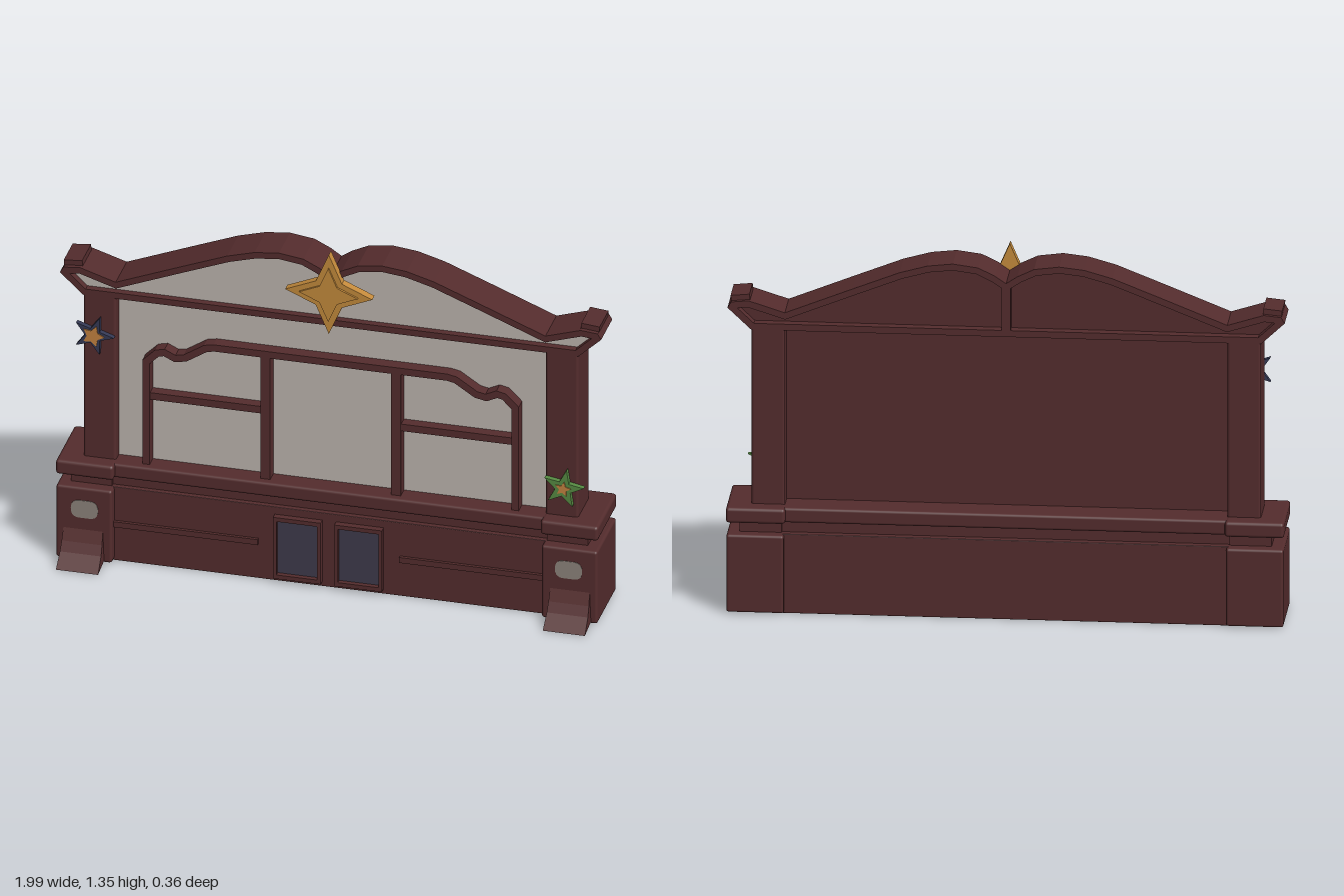
import * as THREE from 'three';
import { RoundedBoxGeometry } from 'three/addons/geometries/RoundedBoxGeometry.js';

const mat = (name, color, side = THREE.FrontSide) => {
  const m = new THREE.MeshStandardMaterial({ color, side });
  m.name = name;
  return m;
};

export function createModel() {
  const root = new THREE.Group();
  const wood = mat('dark red wood', 0x542c2d, THREE.DoubleSide);
  const pane = mat('grey pane', 0xbeb6b0);
  const glass = mat('blue door glass', 0x3f3b4c);
  const gold = mat('gold', 0xc58b3c);
  const navy = mat('navy', 0x353a55);
  const green = mat('green', 0x568a42);
  const orange = mat('orange', 0xc58240);
  const stone = mat('handle grey', 0x8d847c);

  const add = (name, geo, m, parent = root) => {
    const mesh = new THREE.Mesh(geo, m);
    mesh.name = name;
    parent.add(mesh);
    return mesh;
  };
  // box given by its limits, with softened edges when r > 0
  const box = (name, m, x0, x1, y0, y1, z0, z1, r = 0) => {
    const s = [x1 - x0, y1 - y0, z1 - z0];
    const g = r ? new RoundedBoxGeometry(...s, 2, r) : new THREE.BoxGeometry(...s);
    g.translate((x0 + x1) / 2, (y0 + y1) / 2, (z0 + z1) / 2);
    return add(name, g, m);
  };
  // leave out the underside of a softened box, making a hollow shell
  const openBelow = (mesh) => {
    const g = mesh.geometry;
    const under = g.groups[3];
    const kept = [];
    for (let i = 0; i < g.attributes.position.count; i++) {
      if (i < under.start || i >= under.start + under.count) kept.push(i);
    }
    g.setIndex(kept);
    g.clearGroups();
  };
  const vecs = (pts) => pts.map(([x, y]) => new THREE.Vector2(x, y));
  const mirrorX = (pts) => pts.map(([x, y]) => [-x, y]).reverse();
  // extruded outline between two depths, always wound counter-clockwise
  const slab = (name, m, pts, z0, z1, hole) => {
    const ring = vecs(pts);
    if (THREE.ShapeUtils.isClockWise(ring)) ring.reverse();
    const shape = new THREE.Shape(ring);
    if (hole) shape.holes.push(new THREE.Path(vecs(hole)));
    const g = new THREE.ExtrudeGeometry(shape, { depth: z1 - z0, bevelEnabled: false });
    g.translate(0, 0, z0);
    return add(name, g, m);
  };
  // shift a path sideways to its right by d, mitring the corners
  const offset = (pts, d, closed) => pts.map((p, i) => {
    const n = pts.length;
    const a = closed || i > 0 ? pts[(i + n - 1) % n] : null;
    const b = closed || i < n - 1 ? pts[(i + 1) % n] : null;
    const normal = (u, v) => new THREE.Vector2(v[1] - u[1], u[0] - v[0]).normalize();
    const n1 = a ? normal(a, p) : normal(p, b);
    const n2 = b ? normal(p, b) : n1;
    const k = d / Math.max(0.35, 1 + n1.dot(n2));
    return [p[0] + (n1.x + n2.x) * k, p[1] + (n1.y + n2.y) * k];
  });

  // ---- base ----
  openBelow(box('baseBody', wood, -0.8, 0.8, 0, 0.297, -0.152, 0.055, 0.003));
  box('baseNeck', wood, -0.8, 0.8, 0.29, 0.345, -0.125, 0.035);
  box('ledge', wood, -0.8, 0.8, 0.34, 0.395, -0.155, 0.066, 0.01);
  for (const s of [-1, 1]) {
    const sideBox = (name, m, a, b, ...rest) =>
      box(name, m, Math.min(s * a, s * b), Math.max(s * a, s * b), ...rest);
    openBelow(sideBox('pedestal', wood, 0.79, 0.995, 0.005, 0.297, -0.178, 0.093, 0.01));
    sideBox('pedestalNeck', wood, 0.8, 0.95, 0.29, 0.345, -0.135, 0.05);
    sideBox('pedestalLedge', wood, 0.785, 0.997, 0.34, 0.397, -0.178, 0.093, 0.012);
    sideBox('column', wood, 0.79, 0.91, 0.38, 1.065, -0.118, 0.035, 0.01);
    sideBox('baseRail', wood, 0.26, 0.79, 0.14, 0.162, 0.05, 0.067);

    // flared foot, a side profile swept across its width
    const profile = [[0.085, 0.13], [0.093, 0.13], [0.111, 0.085],
      [0.13, 0.05], [0.18, 0.002], [0.085, 0.014]];
    const foot = new THREE.ExtrudeGeometry(new THREE.Shape(vecs(profile).reverse()),
      { depth: 0.155, bevelEnabled: false });
    foot.rotateY(-Math.PI / 2);
    foot.translate(0.0775, 0, 0);
    const p = foot.attributes.position;
    for (let i = 0; i < p.count; i++) {
      p.setX(i, s * 0.895 + p.getX(i) * (1 - 0.5 * p.getY(i)));
      // rotating the profile turned its depth axis onto z
    }
    foot.computeVertexNormals();
    add('flaredFoot', foot, wood);

    // rounded handle plate, flush with the pedestal
    const oval = new THREE.Shape();
    oval.moveTo(-0.02, -0.035).lineTo(0.02, -0.035).quadraticCurveTo(0.05, -0.035, 0.05, 0)
      .quadraticCurveTo(0.05, 0.035, 0.02, 0.035).lineTo(-0.02, 0.035)
      .quadraticCurveTo(-0.05, 0.035, -0.05, 0).quadraticCurveTo(-0.05, -0.035, -0.02, -0.035);
    const handle = new THREE.ExtrudeGeometry(oval, { depth: 0.008, bevelEnabled: false, curveSegments: 5 });
    add('handlePlate', handle, stone).position.set(s * 0.89, 0.212, 0.087);

    // small door: frame and glass
    const rect = (a, b, c, d) => [[s * a, c], [s * b, c], [s * b, d], [s * a, d]];
    slab('doorFrame', wood, rect(0.025, 0.2, 0.02, 0.268), 0.05, 0.08, rect(0.038, 0.188, 0.036, 0.252));
    sideBox('doorGlass', glass, 0.036, 0.19, 0.034, 0.254, 0.052, 0.0615);
  }

  // ---- main panel ----
  box('backPanel', wood, -0.8, 0.8, 0.39, 1.06, -0.045, -0.015);
  box('frontPane', pane, -0.79, 0.79, 0.395, 1.055, -0.016, -0.01);

  // window frame with shaped shoulders
  const half = [[-0.692, 0.39], [-0.692, 0.815], [-0.645, 0.862], [-0.61, 0.87], [-0.57, 0.851],
    [-0.54, 0.857], [-0.465, 0.906], [-0.43, 0.913]];
  const arch = [...half, ...mirrorX(half)];
  slab('windowFrame', wood, [...arch, ...offset(arch, 0.027, false).reverse()], -0.012, 0.037);
  for (const s of [-1, 1]) {
    box('windowPost', wood, s * 0.24 - 0.018, s * 0.24 + 0.018, 0.39, 0.9, -0.012, 0.036);
    box('windowCrossbar', wood, s * 0.46 - 0.215, s * 0.46 + 0.215, 0.655, 0.683, -0.012, 0.03);
  }

  // ---- pediment ----
  const rise = [[-0.91, 1.05], [-0.995, 1.13], [-0.982, 1.152], [-0.92, 1.158], [-0.79, 1.117],
    [-0.55, 1.213], [-0.38, 1.28], [-0.28, 1.308], [-0.19, 1.318], [-0.1, 1.306], [-0.04, 1.277]];
  const outline = [...rise, [0, 1.25], ...mirrorX(rise)];
  const inner = offset(outline, 0.024, true);
  slab('pedimentFrame', wood, outline, -0.12, 0.037, inner);
  slab('pedimentBack', wood, offset(outline, 0.012, true), -0.085, 0.005);
  slab('pedimentPane', pane, inner, 0.004, 0.01);
  box('pedimentBackPost', wood, -0.016, 0.016, 1.06, 1.25, -0.118, -0.08);
  for (const s of [-1, 1]) {
    const cap = box('cornerCap', wood, -0.034, 0.034, -0.014, 0.014, -0.105, 0.02);
    cap.position.set(s * 0.95, 1.161, 0);
    cap.rotation.z = -s * 0.1;
  }

  // ---- star ornaments ----
  const star = (tips, r, ri, turn) => {
    const pts = [];
    for (let i = 0; i < tips * 2; i++) {
      const a = turn + (i * Math.PI) / tips;
      const d = i % 2 ? ri : r;
      pts.push([Math.cos(a) * d, Math.sin(a) * d]);
    }
    return pts;
  };
  const ornament = (name, x, y, layers) => {
    const g = new THREE.Group();
    g.name = name;
    for (const [label, m, pts, z0, z1] of layers) g.add(slab(label, m, pts, z0, z1));
    g.position.set(x, y, 0);
    root.add(g);
  };
  ornament('goldStar', 0, 1.19, [
    ['starBody', gold, star(4, 0.16, 0.068, 0), 0.03, 0.062],
    ['starRaisedCentre', gold, star(4, 0.108, 0.046, 0), 0.06, 0.07],
  ]);
  ornament('blueStar', -0.868, 0.9, [
    ['starBody', navy, star(5, 0.077, 0.03, 1.25), 0.038, 0.058],
    ['starCentre', orange, star(5, 0.042, 0.022, 1.25), 0.056, 0.062],
  ]);
  ornament('greenStar', 0.86, 0.518, [
    ['starBody', green, star(5, 0.077, 0.03, 1.4), 0.038, 0.058],
    ['starCentre', orange, star(5, 0.03, 0.014, 1.4), 0.056, 0.062],
  ]);
  return root;
}
